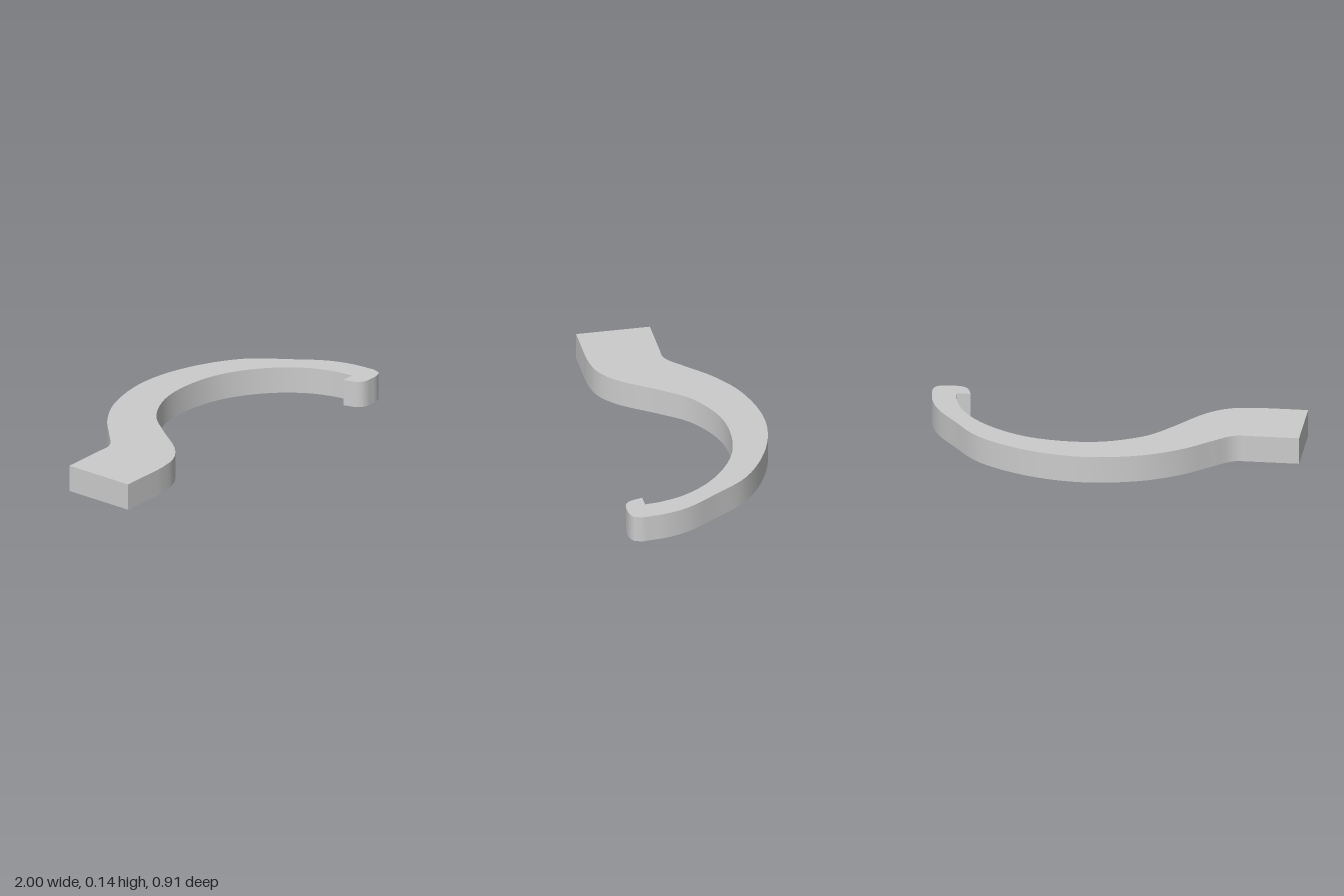
import * as THREE from 'three';
import { toCreasedNormals } from 'three/addons/utils/BufferGeometryUtils.js';

const HEIGHT = 0.145;

// Smooth run through plan points given as [x, z]
function smooth(points, divisions) {
  const curve = new THREE.CatmullRomCurve3(points.map(([x, z]) => new THREE.Vector3(x, -z, 0)));
  return curve.getPoints(divisions).map((p) => new THREE.Vector2(p.x, p.y));
}

export function createModel() {
  const group = new THREE.Group();
  group.name = 'hook';

  // Back edge: from the flat tab, over the arch, down to the tip
  const backEdge = smooth([
    [-0.72, -0.062], [-0.68, -0.062], [-0.635, -0.08], [-0.55, -0.155], [-0.4, -0.29], [-0.2, -0.4],
    [0.1, -0.456], [0.4, -0.4], [0.68, -0.24], [0.83, -0.045], [0.94, 0.12], [0.985, 0.25], [0.998, 0.36],
  ], 72);

  // Rounded end of the hook
  const tip = smooth([
    [1, 0.385], [0.985, 0.428], [0.945, 0.447], [0.9, 0.45], [0.85, 0.445], [0.818, 0.42], [0.792, 0.345],
  ], 30);

  // Front edge: inside of the arch back to the tab
  const frontEdge = smooth([
    [0.866, 0.345], [0.853, 0.25], [0.805, 0.115], [0.7, -0.03], [0.55, -0.15], [0.39, -0.222], [0.18, -0.25],
    [0, -0.225], [-0.2, -0.12], [-0.32, 0.02], [-0.45, 0.2], [-0.53, 0.275], [-0.61, 0.315], [-0.72, 0.333], [-0.77, 0.335],
  ], 80);

  const outline = [
    new THREE.Vector2(-1, 0.062), ...backEdge, ...tip, ...frontEdge, new THREE.Vector2(-1, -0.335),
  ];
  const geometry = new THREE.ExtrudeGeometry(new THREE.Shape(outline), { depth: HEIGHT, bevelEnabled: false });
  geometry.rotateX(-Math.PI / 2);

  const body = new THREE.Mesh(
    toCreasedNormals(geometry, 0.6),
    new THREE.MeshStandardMaterial({ color: 0xcccccc }),
  );
  body.name = 'hookArm';
  group.add(body);
  return group;
}
